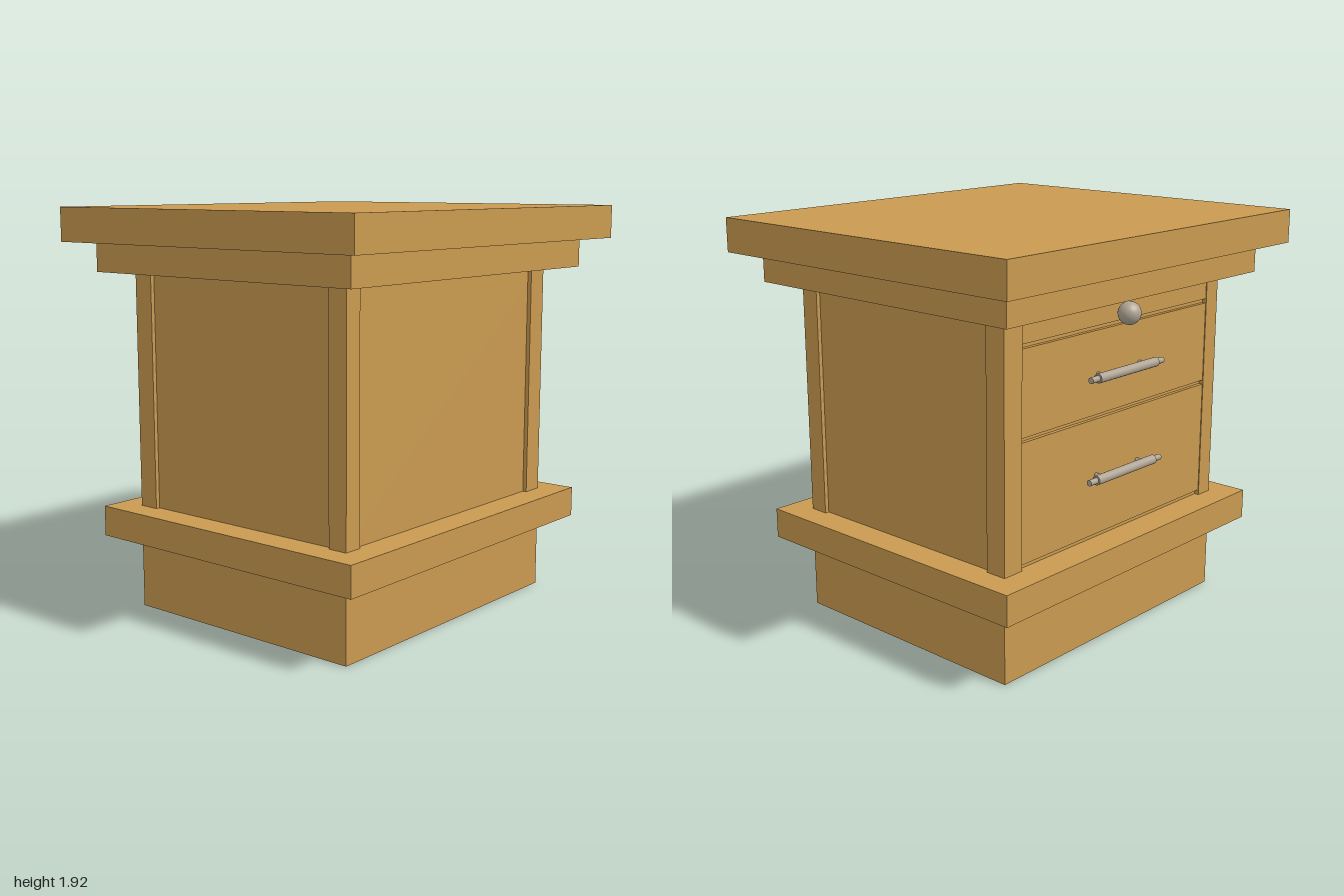
import * as THREE from 'three';

export function createModel() {
  const model = new THREE.Group();
  const wood = new THREE.MeshStandardMaterial({ color: 0xc99a50 });
  wood.name = 'wood';
  const metal = new THREE.MeshStandardMaterial({ color: 0xb0a595 });
  metal.name = 'metal';

  // Box given by its lower and upper bounds
  const box = (name, x0, x1, y0, y1, z0, z1) => {
    const mesh = new THREE.Mesh(new THREE.BoxGeometry(x1 - x0, y1 - y0, z1 - z0), wood);
    mesh.name = name;
    mesh.position.set((x0 + x1) / 2, (y0 + y1) / 2, (z0 + z1) / 2);
    model.add(mesh);
  };

  // Plinth, mouldings and top
  box('plinth', -0.762, 0.762, 0, 0.355, -0.638, 0.638);
  box('lowerMoulding', -0.885, 0.885, 0.355, 0.5, -0.765, 0.765);
  box('upperMoulding', -0.885, 0.885, 1.62, 1.76, -0.765, 0.765);
  box('top', -1, 1, 1.76, 1.92, -0.875, 0.875);

  // Recessed panels of the body, with a post at each corner
  box('body', -0.742, 0.742, 0.5, 1.62, -0.615, 0.618);
  for (const [x0, x1] of [[-0.762, -0.672], [0.652, 0.762]])
    for (const [z0, z1] of [[-0.638, -0.535], [0.542, 0.638]])
      box('cornerPost', x0, x1, 0.5, 1.62, z0, z1);

  // Drawer fronts, separated by narrow gaps
  for (const [y0, y1] of [[0.525, 1.075], [1.095, 1.48], [1.5, 1.605]])
    box('drawerFront', -0.672, 0.652, y0, y1, -0.634, -0.6);

  // Bar handles: thick grip, thinner tips and two stems
  const cylinder = (parent, name, radius, length, x, z, alongZ) => {
    const mesh = new THREE.Mesh(new THREE.CylinderGeometry(radius, radius, length, 20), metal);
    mesh.name = name;
    if (alongZ) mesh.rotation.x = Math.PI / 2;
    else mesh.rotation.z = Math.PI / 2;
    mesh.position.set(x, 0, z);
    parent.add(mesh);
  };
  for (const y of [0.81, 1.28]) {
    const handle = new THREE.Group();
    handle.name = 'handle';
    handle.position.y = y;
    cylinder(handle, 'grip', 0.022, 0.42, 0, -0.685, false);
    cylinder(handle, 'tips', 0.014, 0.52, 0, -0.685, false);
    for (const x of [-0.15, 0.15]) cylinder(handle, 'stem', 0.011, 0.06, x, -0.655, true);
    model.add(handle);
  }

  // Round knob on the top drawer
  const knob = new THREE.Mesh(new THREE.SphereGeometry(0.053, 32, 20), metal);
  knob.name = 'knob';
  knob.position.set(0, 1.54, -0.688);
  model.add(knob);

  return model;
}
